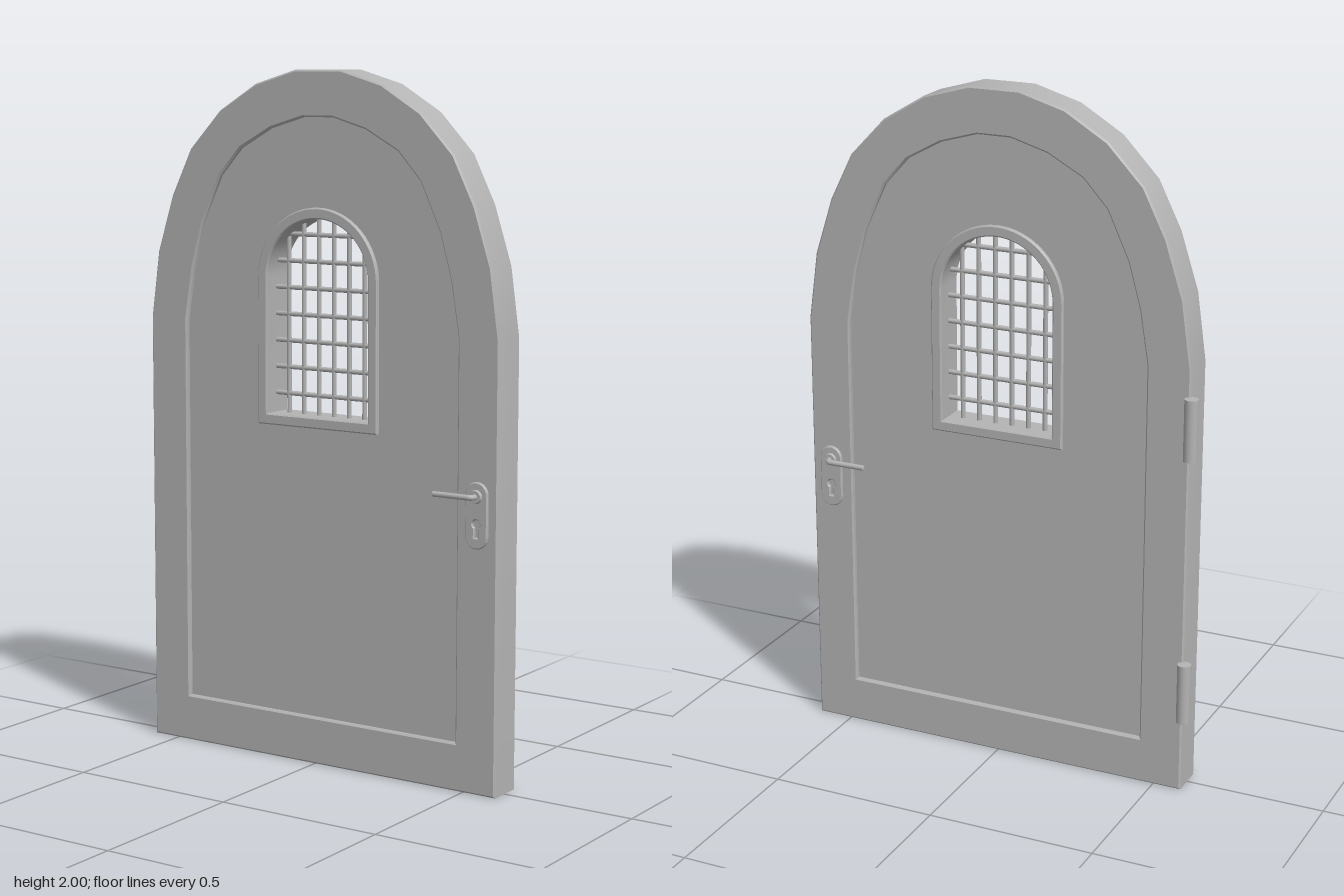
import * as THREE from 'three';
import { toCreasedNormals } from 'three/addons/utils/BufferGeometryUtils.js';

const CX = 0.01;      // door centre in x
const CZ = -0.0015;   // door centre in z
const WIN = { x: 0.005, spring: 1.41 };

// Symmetric arched outline from its right half, listed bottom to top
function mirrored(half, PathType) {
  const right = half.map(([x, y]) => new THREE.Vector2(CX + x, y));
  const left = half.map(([x, y]) => new THREE.Vector2(CX - x, y)).reverse();
  return new PathType([...right, ...left]);
}

// Round-headed window outline
function arch(r, bottom, PathType) {
  const p = new PathType();
  p.moveTo(WIN.x - r, bottom);
  p.lineTo(WIN.x + r, bottom);
  p.lineTo(WIN.x + r, WIN.spring);
  p.absarc(WIN.x, WIN.spring, r, 0, Math.PI, false);
  p.lineTo(WIN.x - r, bottom);
  return p;
}

// Plate from z = -halfDepth to halfDepth with small bevels kept inside the outline
function slab(shape, halfDepth, bevel) {
  const geo = new THREE.ExtrudeGeometry(shape, {
    depth: 2 * (halfDepth - bevel), curveSegments: 16,
    bevelEnabled: bevel > 0, bevelThickness: bevel, bevelSize: bevel,
    bevelOffset: -bevel, bevelSegments: 1,
  });
  geo.translate(0, 0, bevel - halfDepth);
  return toCreasedNormals(geo, 0.6);
}

export function createModel() {
  const model = new THREE.Group();
  model.name = 'archedDoor';
  const grey = new THREE.MeshStandardMaterial({ color: 0xb4b4b4 });
  grey.name = 'grey';

  function add(parent, name, geo, x = 0, y = 0, z = 0) {
    const mesh = new THREE.Mesh(geo, grey);
    mesh.name = name;
    mesh.position.set(x, y, z);
    parent.add(mesh);
    return mesh;
  }

  // Outer frame and recessed panel
  const outer = [[0.595, 0], [0.595, 1.275], [0.568, 1.47], [0.515, 1.635],
    [0.447, 1.772], [0.34, 1.884], [0.214, 1.96], [0.076, 2]];
  const inner = [[0.465, 0.138], [0.465, 1.275], [0.44, 1.43], [0.404, 1.56],
    [0.34, 1.698], [0.267, 1.778], [0.161, 1.836], [0.05, 1.868]];
  const frame = mirrored(outer, THREE.Shape);
  frame.holes.push(mirrored(inner, THREE.Path));
  add(model, 'doorFrame', slab(frame, 0.0565, 0.005), 0, 0, CZ);

  const panel = mirrored(inner, THREE.Shape);
  panel.holes.push(arch(0.19, 1.0, THREE.Path));
  add(model, 'doorPanel', slab(panel, 0.042, 0), 0, 0, CZ);

  // Window surround
  const surround = arch(0.205, 0.985, THREE.Shape);
  surround.holes.push(arch(0.173, 1.017, THREE.Path));
  add(model, 'windowFrame', slab(surround, 0.053, 0.004), 0, 0, CZ);

  // Window bars, cut to the arch
  const bars = new THREE.Group();
  bars.name = 'windowBars';
  model.add(bars);
  const R = 0.18, barRadius = 0.007;
  for (let i = 0; i < 6; i++) {
    const dx = (i - 2.5) * 0.052;
    const top = WIN.spring + Math.sqrt(R * R - dx * dx);
    const length = top - 1.01;
    add(bars, 'verticalBar', new THREE.CylinderGeometry(barRadius, barRadius, length, 10),
      WIN.x + dx, 1.01 + length / 2, CZ);
  }
  for (let i = 0; i < 7; i++) {
    const y = 1.074 + i * 0.0768;
    const dy = Math.max(0, y - WIN.spring);
    const length = 2 * Math.sqrt(R * R - dy * dy);
    const bar = add(bars, 'horizontalBar',
      new THREE.CylinderGeometry(barRadius, barRadius, length, 10), WIN.x, y, CZ);
    bar.rotation.z = Math.PI / 2;
  }

  // Hinge barrels on the back edge
  for (const y of [0.315, 1.11]) {
    add(model, 'hinge', new THREE.CylinderGeometry(0.02, 0.02, 0.18, 20), -0.592, y, -0.067);
  }

  // Lock plate with a keyhole, rounded at both ends
  const plate = new THREE.Shape();
  plate.absarc(0, 0.85, 0.035, 0, Math.PI, false);
  plate.absarc(0, 0.733, 0.035, Math.PI, Math.PI * 2, false);
  const keyhole = new THREE.Path();
  keyhole.absarc(0, 0.768, 0.012, -1.1, Math.PI + 1.1, false);
  keyhole.lineTo(-0.006, 0.73);
  keyhole.lineTo(0.006, 0.73);
  plate.holes.push(keyhole);

  // A handle set on each face, both levers pointing to the door centre
  for (const [name, side] of [['frontHandle', 1], ['backHandle', -1]]) {
    const handle = new THREE.Group();
    handle.name = name;
    handle.position.set(0.542, 0, CZ);
    handle.rotation.y = side > 0 ? 0 : Math.PI;
    model.add(handle);
    add(handle, 'lockPlate', slab(plate, 0.006, 0.003), 0, 0, 0.06);
    const collar = add(handle, 'handleCollar',
      new THREE.CylinderGeometry(0.017, 0.02, 0.008, 20), 0, 0.845, 0.069);
    collar.rotation.x = Math.PI / 2;

    const path = new THREE.CurvePath();
    const v = (x, z) => new THREE.Vector3(-side * x, 0.845, z);
    path.add(new THREE.LineCurve3(v(0, 0.058), v(0, 0.076)));
    path.add(new THREE.QuadraticBezierCurve3(v(0, 0.076), v(0, 0.09), v(0.014, 0.09)));
    path.add(new THREE.LineCurve3(v(0.014, 0.09), v(0.122, 0.09)));
    add(handle, 'lever', new THREE.TubeGeometry(path, 32, 0.008, 12));
    const tip = add(handle, 'leverTip', new THREE.SphereGeometry(0.008, 12, 8),
      -side * 0.122, 0.845, 0.09);
    tip.scale.x = 0.4;
  }

  return model;
}
